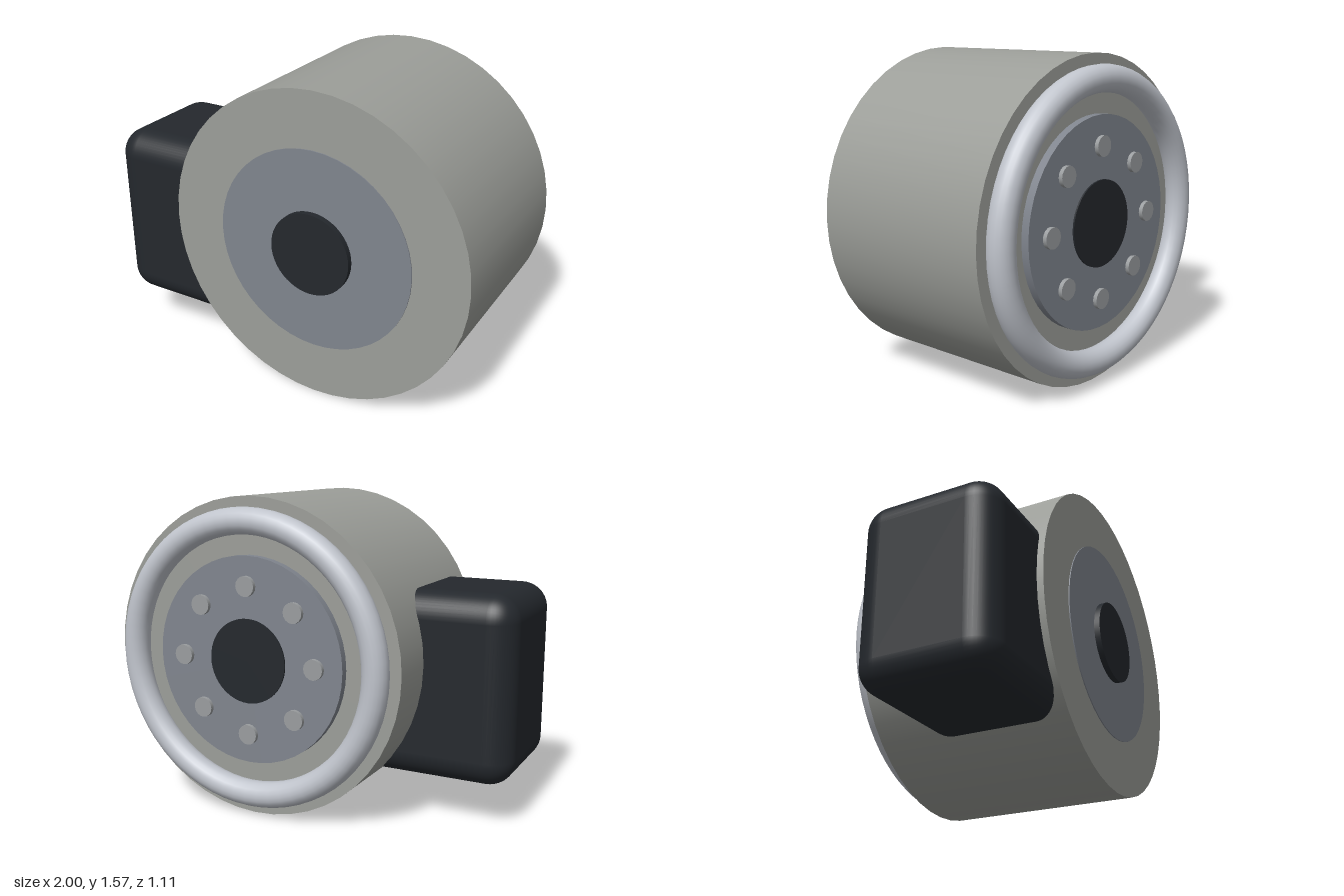
import * as THREE from 'three';
import { RoundedBoxGeometry } from 'three/addons/geometries/RoundedBoxGeometry.js';

const paint = (color) => new THREE.MeshStandardMaterial({ color });
const bodyMat = paint(0x9c9e99);
const plateMat = paint(0x80858e);
const ringMat = paint(0xc0c4cc);
const boltMat = paint(0x9a9d9f);
const darkMat = paint(0x24282d);

export function createModel() {
  const model = new THREE.Group();
  const CX = 0.213, CY = 0.787;

  // Everything round shares the drum axis, which runs along z
  const drumGroup = new THREE.Group();
  drumGroup.name = 'drumAssembly';
  drumGroup.position.set(CX, CY, 0);
  model.add(drumGroup);

  // Disc or cylinder lying along z between two depths
  const disc = (name, radius, zBack, zFront, material, sides = 48, x = 0, y = 0) => {
    const geometry = new THREE.CylinderGeometry(radius, radius, zFront - zBack, sides);
    geometry.rotateX(Math.PI / 2);
    const mesh = new THREE.Mesh(geometry, material);
    mesh.name = name;
    mesh.position.set(x, y, (zBack + zFront) / 2);
    drumGroup.add(mesh);
  };

  // Main drum
  disc('drum', 0.787, -0.46, 0.523, bodyMat);

  // Front face: thin plate and shaft end
  disc('frontPlate', 0.51, 0.5, 0.528, plateMat);
  disc('frontHub', 0.208, 0.5, 0.557, darkMat);

  // Back face: flange, shaft end and bolt circle
  disc('backFlange', 0.51, -0.5, -0.45, plateMat);
  disc('backHub', 0.208, -0.508, -0.45, darkMat);
  for (let i = 0; i < 8; i++) {
    const a = (i * Math.PI) / 4;
    disc('bolt', 0.05, -0.52, -0.48, boltMat, 16, 0.365 * Math.cos(a), 0.365 * Math.sin(a));
  }

  // Rounded sealing ring around the back face
  const ring = new THREE.Mesh(new THREE.TorusGeometry(0.673, 0.065, 20, 64), ringMat);
  ring.name = 'sealRing';
  ring.position.z = -0.492;
  drumGroup.add(ring);

  // Rounded housing on the side, running into the drum
  const housing = new THREE.Mesh(new RoundedBoxGeometry(0.9, 0.924, 0.69, 6, 0.13), darkMat);
  housing.name = 'sideHousing';
  housing.position.set(-0.55, 0.675, 0.145);
  model.add(housing);

  return model;
}
